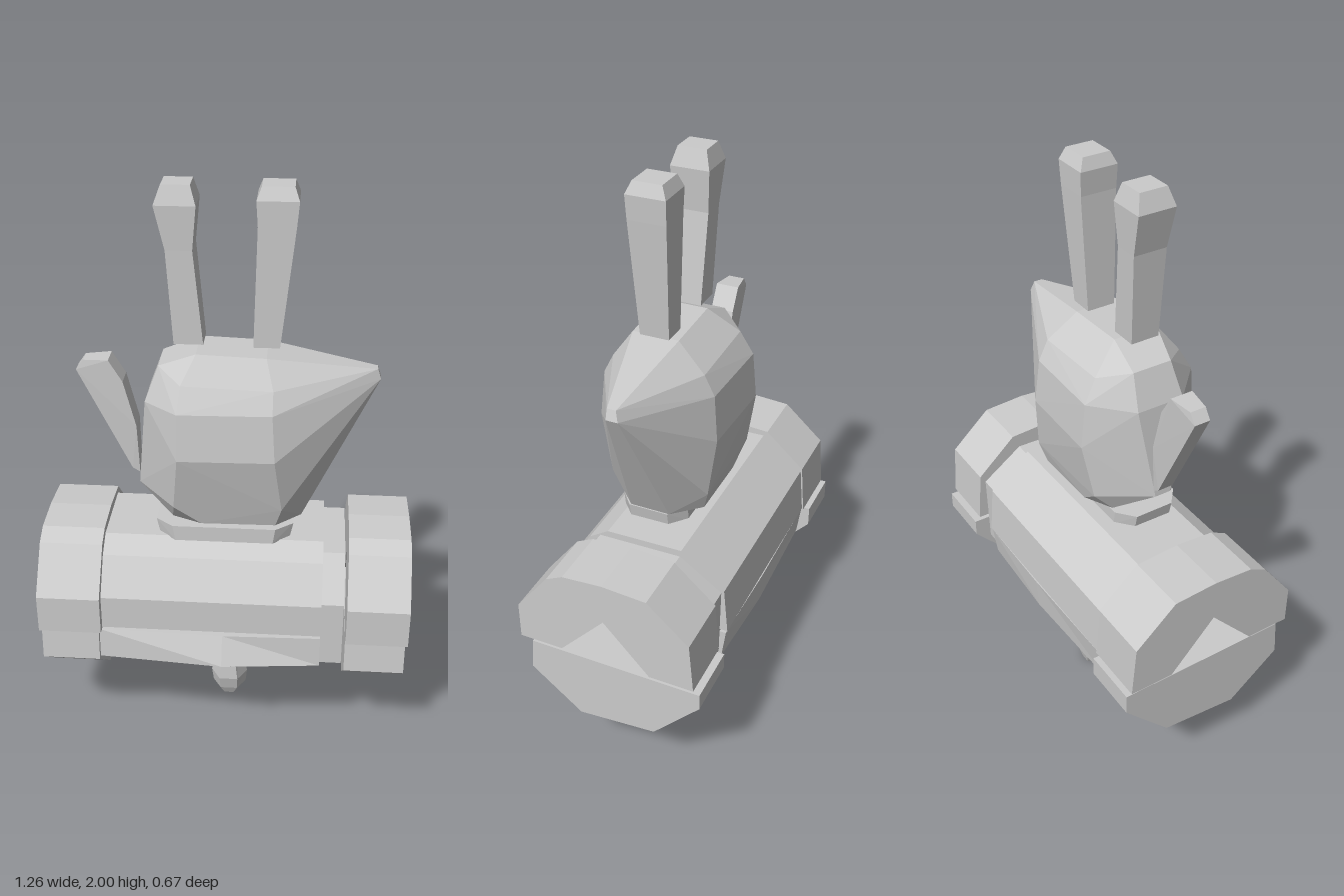
import * as THREE from 'three';
import { ConvexGeometry } from 'three/addons/geometries/ConvexGeometry.js';

const material = new THREE.MeshStandardMaterial({ color: 0xcccccc, flatShading: true });

// Skin a stack of convex rings (counter-clockwise seen from the stack's far end) and cap both ends.
function loft(rings) {
  const n = rings[0].length, position = [];
  const tri = (...pts) => pts.forEach(p => position.push(...p));
  for (let r = 0; r < rings.length - 1; r++) {
    const a = rings[r], b = rings[r + 1];
    for (let i = 0; i < n; i++) {
      const j = (i + 1) % n;
      tri(a[i], a[j], b[j]);
      tri(a[i], b[j], b[i]);
    }
  }
  const first = rings[0], last = rings[rings.length - 1];
  for (let i = 1; i < n - 1; i++) {
    tri(first[0], first[i + 1], first[i]);
    tri(last[0], last[i], last[i + 1]);
  }
  const g = new THREE.BufferGeometry();
  g.setAttribute('position', new THREE.Float32BufferAttribute(position, 3));
  g.computeVertexNormals();
  return g;
}

// Vertical stack of rectangles: [y, x0, x1, z0, z1]
const boxStack = rows => loft(rows.map(([y, x0, x1, z0, z1]) =>
  [[x0, y, z0], [x0, y, z1], [x1, y, z1], [x1, y, z0]]));

// Extrude a [z, y] outline along x
function alongX(outline, x0, x1) {
  const shape = new THREE.Shape(outline.map(([z, y]) => new THREE.Vector2(-z, y)));
  return new THREE.ExtrudeGeometry(shape, { depth: x1 - x0, bevelEnabled: false })
    .rotateY(Math.PI / 2).translate(x0, 0, 0);
}

const hull = pts => new ConvexGeometry(pts.map(p => new THREE.Vector3(...p)));

export function createModel() {
  const model = new THREE.Group();
  const add = (name, geometry) => {
    const mesh = new THREE.Mesh(geometry, material);
    mesh.name = name;
    model.add(mesh);
  };

  // End caps: an upper half with a triangular notch over a lower half
  const capUpper = [[0.315, 0.515], [0.315, 0.65], [0.2, 0.8], [0.14, 0.83], [0, 0.84], [-0.155, 0.83],
    [-0.3, 0.7], [-0.315, 0.515], [-0.16, 0.515], [0, 0.69], [0.16, 0.515]];
  const capLower = [[0.275, 0.5], [0.285, 0.38], [0.105, 0.235], [-0.17, 0.26], [-0.335, 0.44], [-0.335, 0.5]];
  add('rightCapUpper', alongX(capUpper, 0.42, 0.63));
  add('rightCapLower', alongX(capLower, 0.42, 0.625));
  add('leftCapUpper', alongX(capUpper, -0.63, -0.415));
  const leftLower = capLower.map(([z, y]) => [z, y === 0.5 ? 0.513 : y]);
  add('leftCapLower', alongX(leftLower, -0.63, -0.43));

  // Narrow inner core, visible as a ring beside the right cap
  add('core', alongX([[0.27, 0.52], [0.27, 0.4], [0.1, 0.27], [-0.15, 0.28], [-0.28, 0.42],
    [-0.285, 0.68], [-0.135, 0.785], [0.16, 0.78], [0.27, 0.64]], -0.41, 0.41));

  // Barrel body: plain upper half, lower half bulging at mid-length
  add('barrelUpper', alongX([[0.285, 0.52], [0.285, 0.64], [0.2, 0.76], [0.13, 0.805], [-0.14, 0.81],
    [-0.295, 0.69], [-0.31, 0.52]], -0.425, 0.335));
  const lowerEnd = [[0.285, 0.51], [0.29, 0.4], [0.1, 0.25], [-0.15, 0.255], [-0.29, 0.4], [-0.305, 0.51]];
  const lowerMid = [[0.295, 0.51], [0.335, 0.41], [0.1, 0.23], [-0.12, 0.215], [-0.3, 0.39], [-0.31, 0.51]];
  add('barrelLower', loft([[-0.425, lowerEnd], [0, lowerMid], [0.335, lowerEnd]]
    .map(([x, ring]) => ring.map(([z, y]) => [x, y, z]))));

  // Neck plate between barrel and head
  add('neck', hull([0.8, 0.855].flatMap(y => [[-0.24, y, -0.04], [-0.24, y, 0.1], [-0.18, y, 0.15],
    [0.17, y, 0.15], [0.23, y, 0.1], [0.23, y, -0.04], [0.17, y, -0.09], [-0.18, y, -0.09]]
    .map(([x, h, z]) => [x * (y < 0.85 ? 0.95 : 1), h, z]))));

  // Head with pointed beak: [x, y, back z, front z]
  const headPairs = [
    [-0.095, 1.475, -0.04, 0.12], [0.13, 1.467, -0.04, 0.12],
    [-0.14, 1.39, -0.14, 0.18], [0.155, 1.38, -0.14, 0.18],
    [-0.15, 1.31, -0.185, 0.225], [0.155, 1.31, -0.175, 0.215],
    [-0.15, 1.15, -0.2, 0.237], [0.165, 1.15, -0.19, 0.228],
    [-0.17, 0.95, -0.165, 0.185], [0.19, 0.95, -0.17, 0.18],
    [-0.18, 0.88, -0.1, 0.12], [-0.08, 0.88, -0.15, 0.165],
    [0.17, 0.88, -0.15, 0.16], [0.255, 0.88, -0.06, 0.08],
    [-0.3, 0.97, -0.01, 0.05], [-0.265, 1.3, -0.06, 0.11], [-0.22, 1.42, -0.05, 0.09],
    [0.487, 1.405, 0, 0.03], [0.498, 1.37, -0.01, 0.03],
  ];
  add('head', hull(headPairs.flatMap(([x, y, back, front]) => [[x, y, back], [x, y, front]])));

  // Swept crest behind the head
  const crest = [[-0.5, 1.375], [-0.475, 1.41], [-0.39, 1.415], [-0.345, 1.34], [-0.305, 1.18],
    [-0.3, 1.0], [-0.325, 1.015]];
  add('crest', hull(crest.flatMap(([x, y]) => {
    const half = x < -0.47 || y < 1.1 ? 0.028 : 0.04;
    return [[x, y, 0.01 - half], [x, y, 0.01 + half]];
  })));

  // Two upright ears
  add('rightEar', boxStack([
    [1.485, 0.085, 0.17, -0.025, 0.075], [1.88, 0.095, 0.213, -0.04, 0.088],
    [1.96, 0.09, 0.22, -0.042, 0.09], [2.0, 0.105, 0.205, -0.025, 0.072]]));
  add('leftEar', boxStack([
    [1.49, -0.17, -0.075, -0.025, 0.075], [1.8, -0.19, -0.105, -0.035, 0.082],
    [1.94, -0.222, -0.092, -0.042, 0.09], [2.0, -0.2, -0.11, -0.025, 0.072]]));

  // Peg under the barrel
  const peg = [[0, 0.035, 0.045], [0.035, 0.062, 0.06], [0.09, 0.068, 0.07], [0.24, 0.035, 0.043]];
  add('peg', loft(peg.map(([y, rx, rz]) => Array.from({ length: 6 }, (_, i) => {
    const a = i * Math.PI / 3;
    return [rx * Math.cos(a), y, -0.07 + 0.12 * y - rz * Math.sin(a)];
  }))));

  return model;
}
